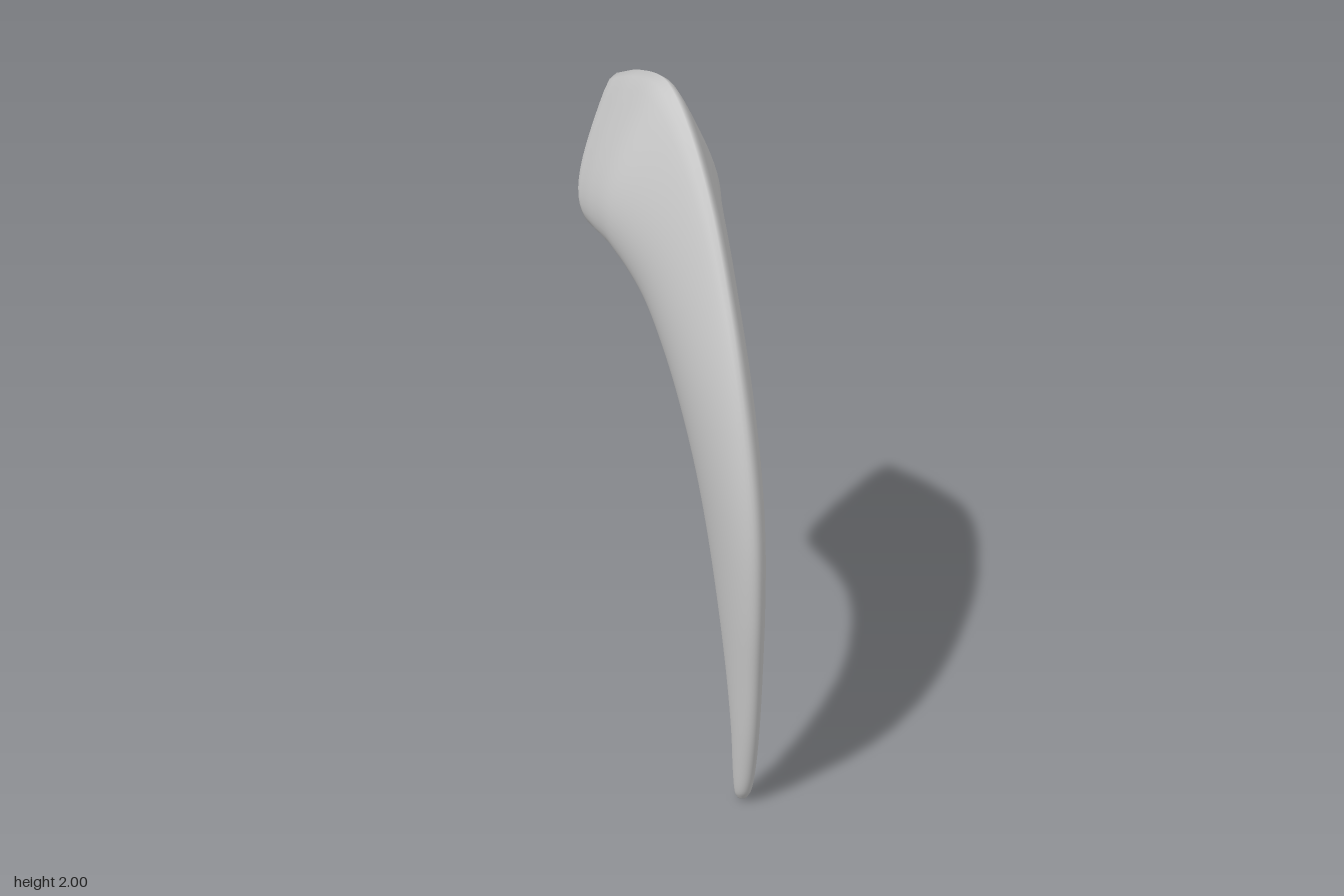
import * as THREE from 'three';

// Sections from tip to base: outer edge z, y, inner edge z, y, half width, centre x
const SECTIONS = [
  [0.355, 0.008, 0.322, 0.002, 0.012, 0.046],
  [0.378, 0.04, 0.314, 0.02, 0.022, 0.046],
  [0.405, 0.11, 0.311, 0.09, 0.029, 0.045],
  [0.445, 0.25, 0.316, 0.22, 0.035, 0.040],
  [0.485, 0.43, 0.302, 0.40, 0.043, 0.032],
  [0.525, 0.63, 0.272, 0.59, 0.052, 0.022],
  [0.547, 0.85, 0.230, 0.78, 0.062, 0.012],
  [0.535, 1.07, 0.180, 0.96, 0.073, 0.002],
  [0.485, 1.31, 0.105, 1.13, 0.085, -0.008],
  [0.400, 1.53, 0.025, 1.25, 0.098, -0.012],
  [0.260, 1.76, -0.050, 1.343, 0.118, -0.012],
  [0.080, 1.93, -0.110, 1.405, 0.145, -0.012],
  [-0.110, 2.00, -0.155, 1.445, 0.171, -0.010],
  [-0.330, 1.937, -0.187, 1.470, 0.184, -0.005],
  [-0.538, 1.835, -0.215, 1.488, 0.185, 0],
];
// Socket rings inside the rim: scale towards the centre, depth
const SOCKET = [[0.98, -0.014], [0.93, -0.014], [0.86, 0.002], [0.72, 0.035], [0.5, 0.07], [0.28, 0.09], [0.1, 0.097]];
const SIDES = 48, STEPS = 70;

// One closed lens-shaped ring, running from the outer edge round by +x;
// towards the base its widest point moves inward and its inner side gets blunter
function ring([zo, yo, zi, yi, w, xc], u) {
  const flare = THREE.MathUtils.smoothstep(u, 0.4, 0.85);
  const sag = 0.035 * THREE.MathUtils.smoothstep(u, 0.85, 1);
  const bias = 1 - 0.62 * flare, soft = 0.01;
  const ease = (h) => (h + soft) ** bias - soft ** bias;
  return Array.from({ length: SIDES }, (_, j) => {
    const t = (j / SIDES) * Math.PI * 2;
    const sin = Math.sin(t), cos = Math.cos(t);
    const s = ease((1 - cos) / 2) / ease(1);
    const side = Math.sign(sin) * Math.abs(sin) ** (cos < 0 ? 1 - 0.25 * flare : 1);
    const bulge = sag * sin * sin;
    return new THREE.Vector3(
      xc + w * side,
      yo + (yi - yo) * s - bulge * 0.71,
      zo + (zi - zo) * s - bulge * 0.7
    );
  });
}

// Smooth surface through the rings, closed by a point at each end
function loft(rings, first, last) {
  const pos = [], index = [];
  rings.flat().concat(first, last).forEach((p) => pos.push(p.x, p.y, p.z));
  const n = rings.length, a0 = n * SIDES, a1 = a0 + 1;
  for (let j = 0; j < SIDES; j++) {
    const k = (j + 1) % SIDES;
    index.push(a0, k, j);
    for (let i = 0; i < n - 1; i++) {
      const a = i * SIDES + j, b = i * SIDES + k;
      index.push(a, b, a + SIDES, b, b + SIDES, a + SIDES);
    }
    index.push((n - 1) * SIDES + j, (n - 1) * SIDES + k, a1);
  }
  const g = new THREE.BufferGeometry();
  g.setAttribute('position', new THREE.Float32BufferAttribute(pos, 3));
  g.setIndex(index);
  g.computeVertexNormals();
  return g;
}

export function createModel() {
  // Smooth the section table along the length
  const curve = (from) => new THREE.CatmullRomCurve3(
    SECTIONS.map((r) => new THREE.Vector3(...r.slice(from, from + 3))), false, 'catmullrom', 0.5);
  const edgeA = curve(0), edgeB = curve(3);
  const rings = [];
  for (let i = 0; i <= STEPS; i++) {
    const u = i / STEPS;
    rings.push(ring([...edgeA.getPoint(u).toArray(), ...edgeB.getPoint(u).toArray()], u));
  }

  // Rounded lip and hollow socket in the base
  const rim = rings[STEPS];
  const centre = rim.reduce((c, p) => c.addScaledVector(p, 1 / SIDES), new THREE.Vector3());
  const inward = new THREE.Vector3(0, 0.71, 0.7);
  for (const [scale, depth] of SOCKET) {
    rings.push(rim.map((p) => centre.clone().lerp(p, scale).addScaledVector(inward, depth)));
  }

  const tip = new THREE.Vector3(0.046, 0, 0.335);
  const bottom = centre.clone().addScaledVector(inward, 0.098);
  const claw = new THREE.Mesh(
    loft(rings, tip, bottom),
    new THREE.MeshStandardMaterial({ color: 0xcccccc })
  );
  claw.name = 'claw';

  const group = new THREE.Group();
  group.name = 'curvedClaw';
  group.add(claw);
  return group;
}
